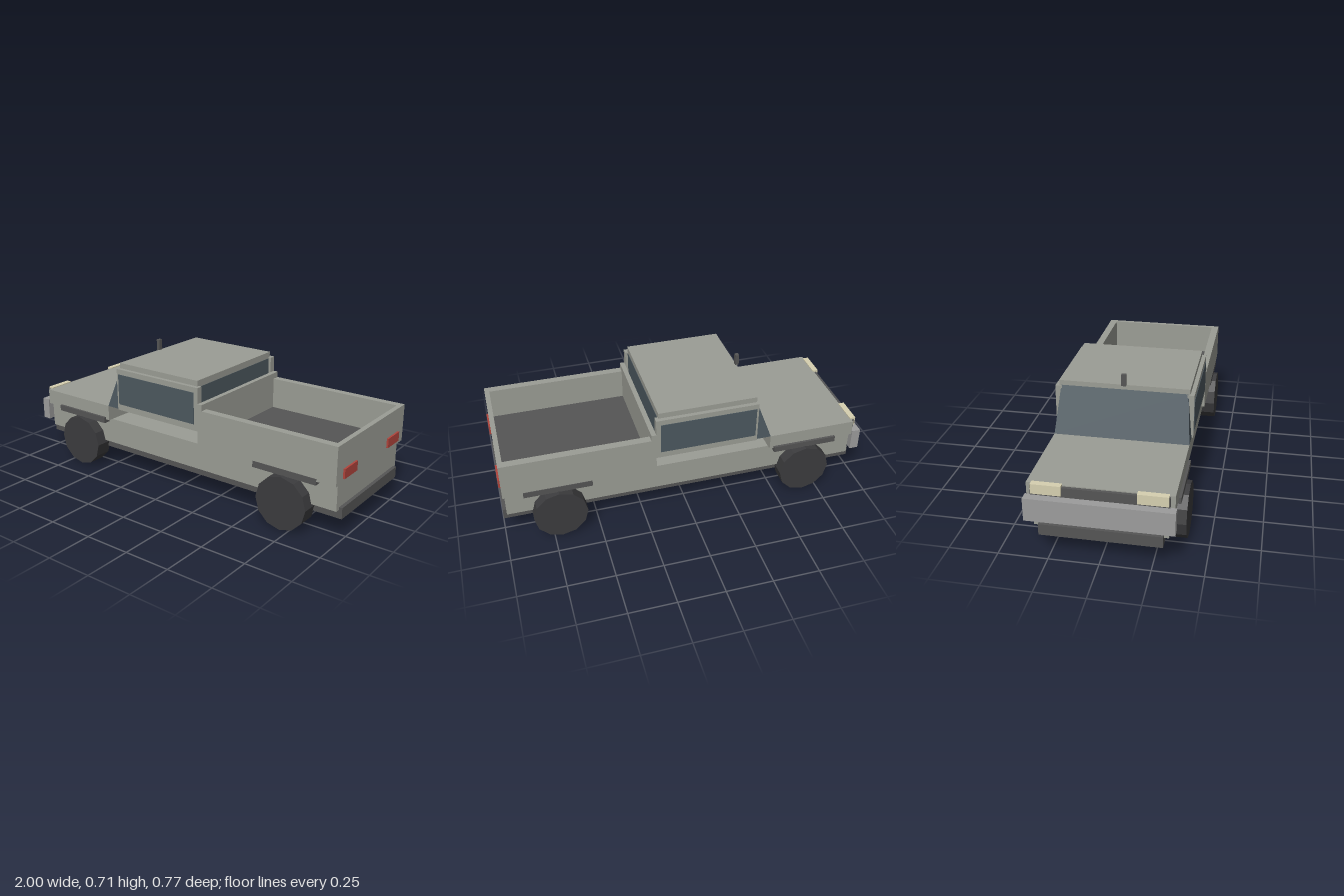
import * as THREE from 'three';

const mat = (color) => new THREE.MeshStandardMaterial({ color, flatShading: true });
const PAINT = mat(0x9b9d95), DARK = mat(0x555555), GLASS = mat(0x4c585f);
const TYRE = mat(0x3c3c3e), METAL = mat(0x9c9c9c), CREAM = mat(0xd6d0b0), RED = mat(0xb0443c);

export function createModel() {
  const truck = new THREE.Group();
  truck.name = 'pickupTruck';

  const add = (name, geometry, material) => {
    const mesh = new THREE.Mesh(geometry, material);
    mesh.name = name;
    truck.add(mesh);
    return mesh;
  };
  // Box given by its limits along each axis
  const box = (name, material, [x0, x1], [y0, y1], [z0, z1]) => {
    const mesh = add(name, new THREE.BoxGeometry(x1 - x0, y1 - y0, z1 - z0), material);
    mesh.position.set((x0 + x1) / 2, (y0 + y1) / 2, (z0 + z1) / 2);
    return mesh;
  };
  // The same box on both sides of the truck
  const pair = (name, material, x, y, [z0, z1]) => {
    box(name + 'Left', material, x, y, [z0, z1]);
    box(name + 'Right', material, x, y, [-z1, -z0]);
  };

  // Chassis, lower body and hood (the nose points to -x)
  box('chassis', DARK, [-0.97, 0.998], [0.115, 0.174], [-0.3, 0.3]);
  box('lowerBody', PAINT, [-0.952, 0.98], [0.16, 0.304], [-0.325, 0.325]);
  box('hood', PAINT, [-0.952, -0.462], [0.304, 0.39], [-0.352, 0.352]);

  // Nose
  box('frontBumper', METAL, [-1, -0.952], [0.207, 0.328], [-0.36, 0.36]);
  box('grille', DARK, [-0.968, -0.945], [0.335, 0.385], [-0.33, 0.33]);
  pair('headlight', CREAM, [-0.977, -0.945], [0.345, 0.396], [0.178, 0.325]);

  // Cabin: glazed core, side panels with windows, roof
  box('cabinCore', GLASS, [-0.372, 0.165], [0.39, 0.62], [-0.325, 0.325]);
  pair('cabinSide', PAINT, [-0.378, 0.18], [0.39, 0.626], [0.325, 0.361]);
  pair('sideWindow', GLASS, [-0.366, 0.156], [0.425, 0.597], [0.35, 0.364]);
  box('roof', PAINT, [-0.372, 0.163], [0.618, 0.656], [-0.339, 0.339]);
  box('antenna', DARK, [-0.386, -0.366], [0.654, 0.716], [-0.012, 0.012]);

  // Windshield: a wedge that narrows toward the roof
  const wedge = new THREE.Shape([
    new THREE.Vector2(-0.462, 0.39), new THREE.Vector2(-0.372, 0.39), new THREE.Vector2(-0.372, 0.63),
  ]);
  const shield = new THREE.ExtrudeGeometry(wedge, { depth: 2, bevelEnabled: false }).translate(0, 0, -1);
  const p = shield.attributes.position;
  for (let i = 0; i < p.count; i++) {
    p.setZ(i, p.getZ(i) * (p.getY(i) > 0.5 ? 0.33 : 0.352));
  }
  shield.computeVertexNormals();
  add('windshield', shield, GLASS);

  // Open cargo bed
  box('bedFloor', DARK, [0.2, 0.97], [0.304, 0.335], [-0.325, 0.325]);
  box('bedHeadboard', PAINT, [0.18, 0.206], [0.304, 0.54], [-0.362, 0.362]);
  box('tailgate', PAINT, [0.964, 0.99], [0.304, 0.507], [-0.362, 0.362]);
  pair('bedSide', PAINT, [0.206, 0.964], [0.304, 0.507], [0.32, 0.362]);
  pair('taillight', RED, [0.985, 1], [0.325, 0.376], [0.17, 0.298]);

  // Fender strips and wheels on both axles
  for (const [end, x] of [['front', -0.665], ['rear', 0.705]]) {
    pair(end + 'Fender', DARK, [x - 0.18, x + 0.18], [0.285, 0.318], [0.32, 0.365]);
    for (const side of [1, -1]) {
      const label = end + (side > 0 ? 'Left' : 'Right');
      const wheel = add(label + 'Wheel',
        new THREE.CylinderGeometry(0.143, 0.143, 0.097, 12).rotateX(Math.PI / 2), TYRE);
      wheel.position.set(x, 0.145, side * 0.339);
      const hub = add(label + 'Hub',
        new THREE.CylinderGeometry(0.07, 0.07, 0.09, 8).rotateX(Math.PI / 2), METAL);
      hub.position.set(x, 0.145, side * 0.332);
    }
  }
  return truck;
}
